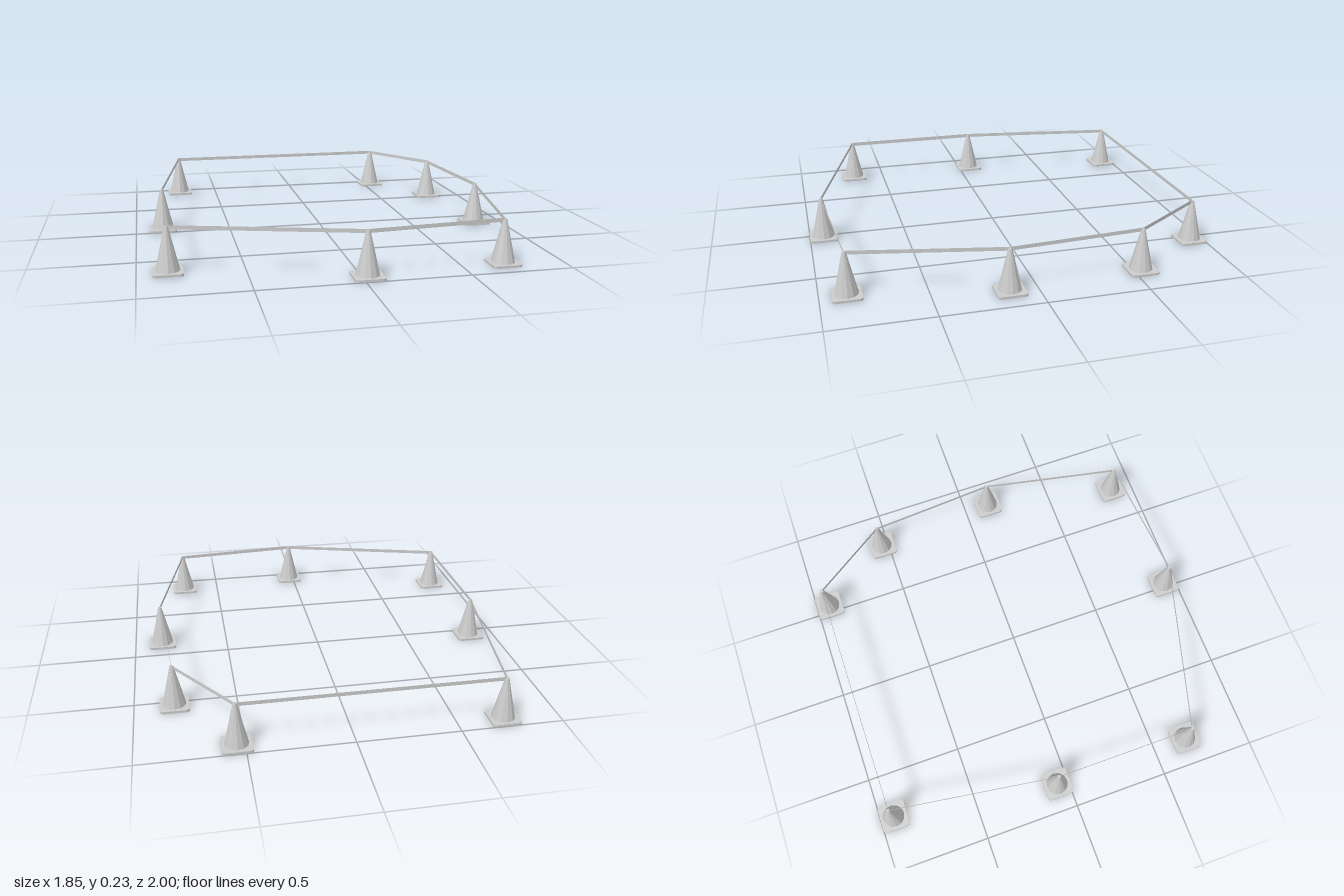
import * as THREE from 'three';

const SIZE = 0.143, BASE_H = 0.012, TOP = 0.222;
const TAPE_LOW = 0.207, TAPE_HIGH = 0.226;

// Cone positions (x, z) in order around the loop
const POSTS = [
  [-0.727, -0.929], [0.539, -0.929], [0.805, -0.536], [0.852, 0.138],
  [0.703, 0.873], [0.025, 0.929], [-0.857, 0.678], [-0.857, -0.061],
];

// Square foot with rounded corners, lying on the ground
function footGeometry() {
  const h = SIZE / 2, r = 0.016, c = h - r;
  const s = new THREE.Shape();
  s.moveTo(-c, -h);
  s.absarc(c, -c, r, -Math.PI / 2, 0);
  s.absarc(c, c, r, 0, Math.PI / 2);
  s.absarc(-c, c, r, Math.PI / 2, Math.PI);
  s.absarc(-c, -c, r, Math.PI, Math.PI * 1.5);
  const g = new THREE.ExtrudeGeometry(s, { depth: BASE_H, bevelEnabled: false, curveSegments: 3 });
  return g.rotateX(-Math.PI / 2);
}

export function createModel() {
  const group = new THREE.Group();
  group.name = 'coneBarrier';
  const grey = new THREE.MeshStandardMaterial({ color: 0xcccccc, flatShading: true });
  const tapeGrey = new THREE.MeshStandardMaterial({ color: 0xcccccc, flatShading: true, side: THREE.DoubleSide });

  const foot = footGeometry();
  const body = new THREE.CylinderGeometry(0.009, 0.057, TOP - BASE_H, 12);
  body.translate(0, (TOP + BASE_H) / 2, 0);

  POSTS.forEach(([x, z], i) => {
    // Traffic cone
    const cone = new THREE.Group();
    cone.name = `cone${i + 1}`;
    const footMesh = new THREE.Mesh(foot, grey);
    footMesh.name = 'foot';
    const bodyMesh = new THREE.Mesh(body, grey);
    bodyMesh.name = 'body';
    cone.add(footMesh, bodyMesh);
    cone.position.set(x, 0, z);
    group.add(cone);

    // Upright tape running to the next cone
    const [nx, nz] = POSTS[(i + 1) % POSTS.length];
    const length = Math.hypot(nx - x, nz - z);
    const tape = new THREE.Mesh(new THREE.PlaneGeometry(length, TAPE_HIGH - TAPE_LOW), tapeGrey);
    tape.name = `tape${i + 1}`;
    tape.position.set((x + nx) / 2, (TAPE_LOW + TAPE_HIGH) / 2, (z + nz) / 2);
    tape.rotation.y = -Math.atan2(nz - z, nx - x);
    group.add(tape);
  });
  return group;
}
